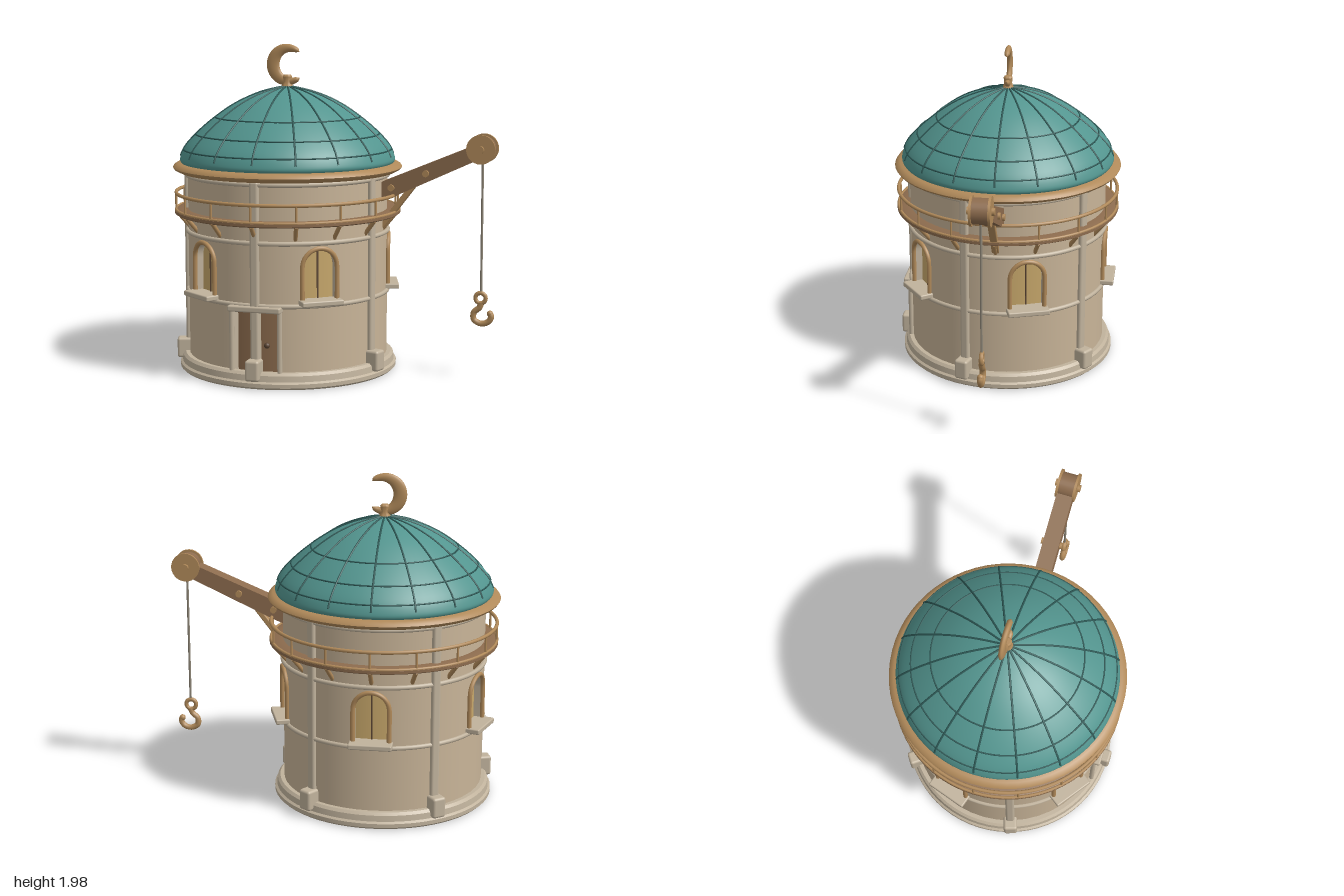
import * as THREE from 'three';
import { ParametricGeometry } from 'three/addons/geometries/ParametricGeometry.js';
import { RoundedBoxGeometry } from 'three/addons/geometries/RoundedBoxGeometry.js';
import { toCreasedNormals } from 'three/addons/utils/BufferGeometryUtils.js';

const V = (x, y, z = 0) => new THREE.Vector3(x, y, z);
const mat = (name, color) => {
  const m = new THREE.MeshStandardMaterial({ color });
  m.name = name;
  return m;
};
const M = {
  wall: mat('wall plaster', 0xc8b498),
  stone: mat('trim stone', 0xc0b29c),
  dome: mat('teal roof', 0x53958f),
  rib: mat('dark teal seam', 0x2c5754),
  tan: mat('light wood', 0xb18a5a),
  brown: mat('dark wood', 0x8d6c4e),
  glass: mat('amber glass', 0xc9a96c),
  dark: mat('dark fitting', 0x5c4634),
  rope: mat('rope grey', 0x8f8778),
};
const R = 0.61, RIN = 0.565;

function add(parent, name, geo, material, pos) {
  const m = new THREE.Mesh(geo, material);
  m.name = name;
  if (pos) m.position.copy(pos);
  parent.add(m);
  return m;
}
// Local group turned so that its +z points outward at angle a
function spoke(parent, name, a) {
  const g = new THREE.Group();
  g.name = name;
  g.rotation.y = a;
  parent.add(g);
  return g;
}
const lathe = (pts, seg = 64) =>
  toCreasedNormals(new THREE.LatheGeometry(pts.map(p => new THREE.Vector2(...p)), seg), 0.6);
const tube = (pts, r, seg = 40) =>
  new THREE.TubeGeometry(new THREE.CatmullRomCurve3(pts), seg, r, 8);
const hoop = (r, t) => new THREE.TorusGeometry(r, t, 8, 80).rotateX(Math.PI / 2);
function rod(parent, name, a, b, r, material) {
  const d = b.clone().sub(a);
  const m = add(parent, name, new THREE.CylinderGeometry(r, r, d.length(), 10), material,
    a.clone().add(b).multiplyScalar(0.5));
  m.quaternion.setFromUnitVectors(V(0, 1, 0), d.normalize());
}
// Point on a cylinder: s is arc distance at the wall radius
const onWall = (s, y, r, t) => t.set(Math.sin(s / R) * r, y, Math.cos(s / R) * r);
const patch = (s0, s1, lo, hi, r, n = 20) => new ParametricGeometry((u, v, t) => {
  const s = s0 + (s1 - s0) * u;
  onWall(s, lo(s) + (hi(s) - lo(s)) * v, r, t);
}, n, 1);

// Opening outline: straight jambs with an optional round head
const headY = (o, s) => o.spring + o.rise * Math.sqrt(Math.max(0, 1 - (s / o.hw) ** 2));
function outline(o) {
  const pts = [[-o.hw, o.y0]];
  for (let i = 0; i <= 16; i++) {
    const s = -o.hw * Math.cos(Math.PI * i / 16);
    pts.push([s, headY(o, s)]);
  }
  pts.push([o.hw, o.y0]);
  return pts;
}
// One wall bay, centred on +z, with a recessed panel in an opening
function bay(g, o, top, half, panelMat) {
  const y1 = () => top, y0 = () => o.y0;
  add(g, 'wallLeft', patch(-half, -o.hw, y0, y1, R), M.wall);
  add(g, 'wallRight', patch(o.hw, half, y0, y1, R), M.wall);
  add(g, 'wallOver', patch(-o.hw, o.hw, s => headY(o, s), y1, R, 28), M.wall);
  add(g, 'panel', patch(-o.hw, o.hw, y0, s => headY(o, s), RIN, 28), panelMat);
  const pts = outline(o), n = pts.length - 1;
  add(g, 'reveal', new ParametricGeometry((u, v, t) => {
    const k = Math.min(n - 1, Math.floor(u * n)), f = u * n - k;
    const [a, b] = [pts[k], pts[k + 1]];
    onWall(a[0] + (b[0] - a[0]) * f, a[1] + (b[1] - a[1]) * f, RIN + (R - RIN) * v, t);
  }, n, 1), M.stone);
}

function buildWalls(t) {
  add(t, 'basePlinth', lathe([[0, 0], [0.655, 0], [0.668, 0.012], [0.668, 0.035], [0.655, 0.045],
    [0.65, 0.08], [0.635, 0.095], [0.6, 0.095]]), M.stone);
  // Lower storey with door
  const door = spoke(t, 'doorStorey', 0);
  bay(door, { hw: 0.138, y0: 0.085, spring: 0.46, rise: 0 }, 0.49, Math.PI * R, M.brown);
  for (const s of [-1, 1]) {
    add(door, 'doorPost', new THREE.CylinderGeometry(0.015, 0.015, 0.4, 12), M.stone, V(s * 0.148, 0.26, 0.605));
  }
  add(door, 'doorLintel', new RoundedBoxGeometry(0.325, 0.036, 0.07, 2, 0.01), M.stone, V(0, 0.467, 0.612));
  add(door, 'doorKnob', new THREE.SphereGeometry(0.018, 14, 10), M.dark, V(0.06, 0.245, 0.575));
  // Middle storey with five windows, pilasters between them
  const win = { hw: 0.105, y0: 0.485, spring: 0.715, rise: 0.108 };
  for (let i = 0; i < 5; i++) {
    const a = i * Math.PI * 0.4;
    const w = spoke(t, 'window', a + Math.PI / 5);
    bay(w, win, 0.86, Math.PI / 5 * R, M.glass);
    const frame = outline({ ...win, y0: 0.52 }).map(([s, y]) => onWall(s, y, R + 0.008, V(0, 0)));
    add(w, 'windowFrame', tube(frame, 0.014, 60), M.tan);
    add(w, 'mullion', new THREE.BoxGeometry(0.008, 0.31, 0.008), M.dark, V(0, 0.665, RIN + 0.002));
    add(w, 'windowSill', new RoundedBoxGeometry(0.255, 0.032, 0.125, 2, 0.008), M.stone, V(0, 0.508, 0.617));
    const p = spoke(t, 'pilaster', a);
    add(p, 'shaft', new RoundedBoxGeometry(0.055, 1.13, 0.06, 3, 0.015), M.stone, V(0, 0.65, 0.602));
    add(p, 'foot', new RoundedBoxGeometry(0.085, 0.125, 0.1, 3, 0.016), M.stone, V(0, 0.11, 0.637));
  }
  // Upper storey and string courses
  add(t, 'upperWall', new THREE.CylinderGeometry(R, R, 0.39, 64, 1, true), M.wall, V(0, 1.045, 0));
  for (const y of [0.485, 0.853, 1.195]) add(t, 'stringCourse', hoop(R + 0.004, 0.014), M.stone, V(0, y, 0));
}

function buildBalcony(t) {
  add(t, 'deck', lathe([[0.6, 0.955], [0.68, 0.955], [0.692, 0.962], [0.692, 0.978], [0.68, 0.985],
    [0.6, 0.985]]), M.brown);
  add(t, 'deckRim', hoop(0.683, 0.009), M.tan, V(0, 0.982, 0));
  add(t, 'handrail', hoop(0.682, 0.011), M.tan, V(0, 1.085, 0));
  for (let i = 0; i < 16; i++) {
    const g = spoke(t, 'balconyBay', i * Math.PI / 8);
    rod(g, 'baluster', V(0, 0.97, 0.682), V(0, 1.085, 0.682), 0.007, M.tan);
    rod(g, 'bracket', V(0, 0.96, 0.672), V(0, 0.875, 0.6), 0.013, M.tan);
  }
}

function buildRoof(t) {
  add(t, 'eave', lathe([[0.6, 1.205], [0.66, 1.212], [0.692, 1.228], [0.7, 1.24], [0.692, 1.252],
    [0.67, 1.265], [0.63, 1.27]]), M.tan);
  const curve = new THREE.SplineCurve([[0.645, 1.262], [0.655, 1.295], [0.612, 1.38], [0.49, 1.5],
    [0.33, 1.615], [0.17, 1.687], [0, 1.728]].map(p => new THREE.Vector2(...p)));
  const prof = curve.getPoints(36);
  prof[prof.length - 1].x = 0;
  add(t, 'dome', new THREE.LatheGeometry(prof, 64), M.dome);
  const ribPts = prof.slice(7).map(p => V(0, p.y + 0.001, p.x));
  for (let i = 0; i < 16; i++) {
    add(spoke(t, 'domeRib', i * Math.PI / 8), 'rib', tube(ribPts, 0.006, 30), M.rib);
  }
  for (const r of [0.444, 0.556, 0.632]) {
    const p = prof.slice(6).reduce((a, b) => Math.abs(b.x - r) < Math.abs(a.x - r) ? b : a);
    add(t, 'domeSeam', hoop(p.x, 0.005), M.rib, V(0, p.y, 0));
  }
  // Finial: collar and tapered crescent
  add(t, 'finialCollar', lathe([[0, 1.71], [0.04, 1.71], [0.03, 1.735], [0.024, 1.75], [0.028, 1.785],
    [0.02, 1.795], [0, 1.795]], 20), M.tan);
  add(t, 'crescent', new ParametricGeometry((u, v, o) => {
    const a = 0.75 + (Math.PI * 2 - 1.5) * u;
    const w = (0.013 + 0.028 * Math.sin(Math.PI * u)) * Math.min(1, Math.sqrt(Math.min(u, 1 - u) * 25));
    const r = 0.126 - (0.013 + 0.028 * Math.sin(Math.PI * u)) + w * Math.cos(v * Math.PI * 2);
    o.set(Math.cos(a) * r - 0.006, 1.855 + Math.sin(a) * r,
      -Math.min(0.017, w) * Math.sin(v * Math.PI * 2));
  }, 48, 14), Object.assign(M.tan, { side: THREE.DoubleSide }));
}

function buildCrane(g) {
  const zCyl = (r, d, n = 28) => new THREE.CylinderGeometry(r, r, d, n).rotateX(Math.PI / 2);
  // Tapered boom, side profile extruded across z
  const side = new THREE.Shape([[0.26, 1.03], [0.36, 1.07], [0.92, 1.33], [0.9, 1.415], [0.29, 1.16],
    [0.26, 1.145]].map(p => new THREE.Vector2(...p)));
  add(g, 'boom', new THREE.ExtrudeGeometry(side, { depth: 0.1, bevelEnabled: false }).translate(0, 0, -0.05), M.brown);
  const brace = add(g, 'brace', new RoundedBoxGeometry(0.035, 0.4, 0.045, 2, 0.008), M.tan, V(0.39, 1.015, 0));
  brace.rotation.z = -Math.atan2(0.23, 0.3);
  for (const [x, y] of [[0.366, 1.133], [0.578, 1.225]]) {
    add(g, 'bolt', zCyl(0.02, 0.13, 14), M.tan, V(x, y, 0));
  }
  // Pulley
  add(g, 'pulleyDrum', zCyl(0.074, 0.1), M.brown, V(0.907, 1.378, 0));
  for (const s of [-1, 1]) add(g, 'pulleyFlange', zCyl(0.087, 0.014), M.tan, V(0.907, 1.378, s * 0.053));
  add(g, 'pulleyAxle', zCyl(0.022, 0.156, 16), M.tan, V(0.907, 1.378, 0));
  // Rope and hook
  rod(g, 'rope', V(0.91, 0.515), V(0.91, 1.35), 0.007, M.rope);
  add(g, 'hookEye', new THREE.TorusGeometry(0.031, 0.013, 10, 28), M.tan, V(0.907, 0.483, 0));
  const hook = [V(0.912, 0.455), V(0.9, 0.425), V(0.868, 0.395), V(0.868, 0.352), V(0.91, 0.329),
    V(0.955, 0.342), V(0.973, 0.375), V(0.965, 0.392)];
  add(g, 'hook', tube(hook, 0.018), M.tan);
  add(g, 'hookTip', new THREE.SphereGeometry(0.019, 12, 10), M.tan, hook[7]);
}

export function createModel() {
  const model = new THREE.Group();
  model.name = 'craneTower';
  const tower = new THREE.Group();
  tower.name = 'tower';
  tower.position.x = -0.302;
  model.add(tower);
  buildWalls(tower);
  buildBalcony(tower);
  buildRoof(tower);
  const crane = new THREE.Group();
  crane.name = 'crane';
  model.add(crane);
  buildCrane(crane);
  return model;
}
